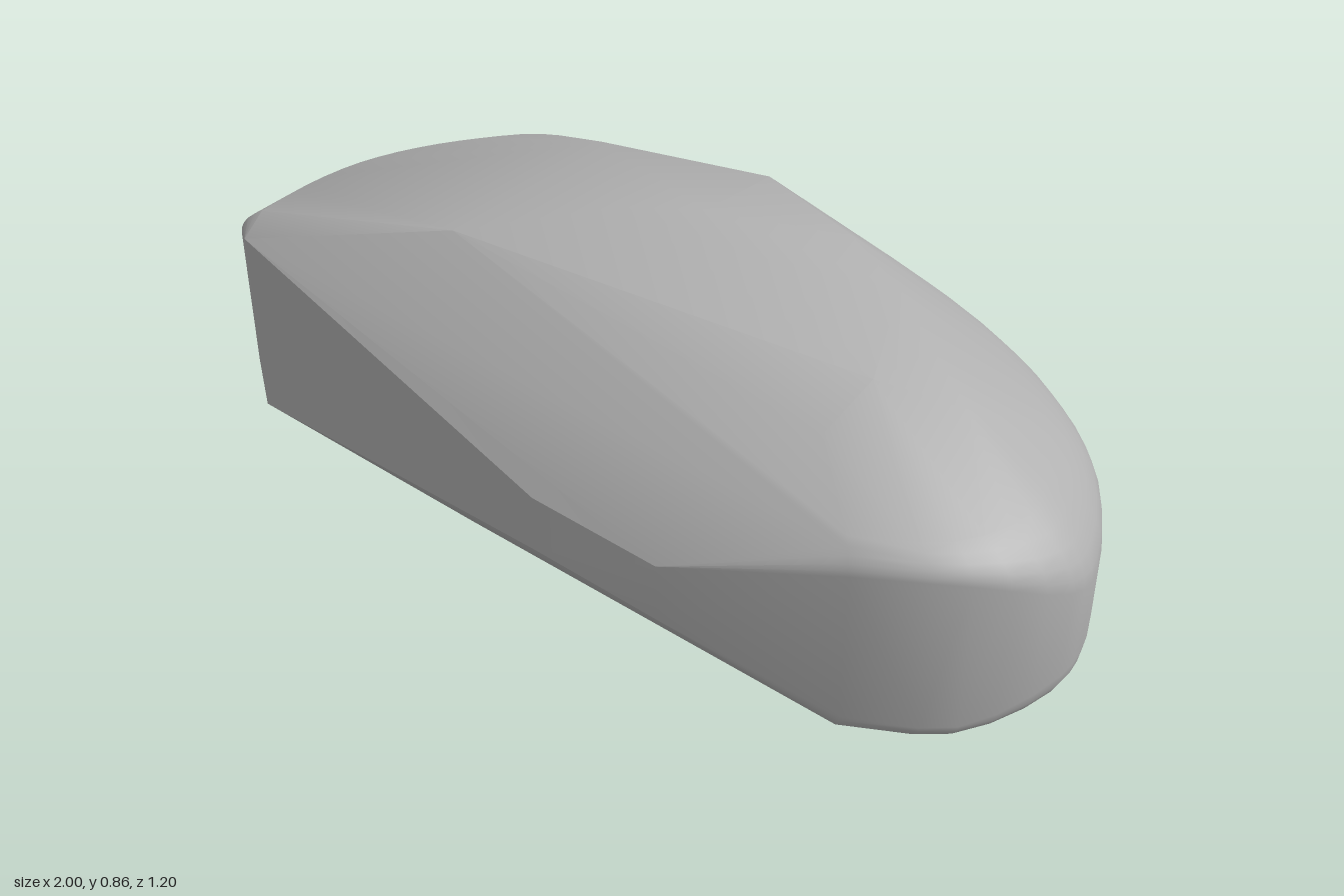
import * as THREE from 'three';
import { ConvexGeometry } from 'three/addons/geometries/ConvexGeometry.js';
import { mergeVertices, toCreasedNormals } from 'three/addons/utils/BufferGeometryUtils.js';

const MID = 0.433; // height of the mirror plane

export function createModel() {
  const group = new THREE.Group();
  group.name = 'stone';
  const stoneGrey = new THREE.MeshStandardMaterial({ color: 0xb0b0b0 });
  stoneGrey.name = 'stone grey';

  const V = (p) => new THREE.Vector3(p[0], p[2], p[1]);
  // All points are [x, z, half height]
  // Rounded edge: rim of the side wall, and the shoulder above it
  const rim = [
    [0.62, 0.598, 0.17], [0.83, 0.535, 0.17], [0.98, 0.4, 0.1], [1, 0.3, 0.08], [0.95, 0.1, 0.1],
    [0.85, -0.06, 0.1], [0.7, -0.2, 0.1], [0.4, -0.38, 0.1], [0, -0.505, 0.13], [-0.28, -0.592, 0.16],
    [-0.4, -0.605, 0.17], [-0.55, -0.585, 0.17], [-0.7, -0.5, 0.17], [-0.82, -0.37, 0.17],
    [-0.9, -0.25, 0.17], [-0.95, -0.1, 0.17], [-1, 0.05, 0.17],
  ].map(V);
  const shoulder = [
    [0.6, 0.56, 0.23], [0.78, 0.5, 0.23], [0.88, 0.37, 0.23], [0.88, 0.27, 0.24], [0.84, 0.12, 0.25],
    [0.73, -0.03, 0.26], [0.58, -0.16, 0.27], [0.3, -0.32, 0.28], [0, -0.43, 0.27], [-0.3, -0.54, 0.235],
    [-0.42, -0.55, 0.23], [-0.55, -0.53, 0.23], [-0.66, -0.45, 0.235], [-0.77, -0.34, 0.24],
    [-0.85, -0.22, 0.245], [-0.9, -0.08, 0.25], [-0.93, 0.06, 0.25],
  ].map(V);

  // Cut front face, crest and crown
  const points = [
    [-0.93, 0.135, 0.22], [-0.05, 0.51, 0.065], [0.25, 0.598, 0.065],
    [-0.4, 0.15, 0.38], [0.5, 0.42, 0.325], [0.55, 0.3, 0.382], [0.62, 0.15, 0.365],
    [0.5, 0, 0.385], [0.35, -0.15, 0.385], [0.1, -0.33, 0.37], [-0.3, -0.34, 0.36],
    [0.07, -0.05, 0.432], [0.25, 0.06, 0.423], [-0.1, 0, 0.426], [0.72, 0.25, 0.33],
  ].map(V);

  // Sweep a curved bevel from the rim to the shoulder
  const rimCurve = new THREE.CatmullRomCurve3(rim);
  const shoulderCurve = new THREE.CatmullRomCurve3(shoulder);
  const N = 48, M = 5;
  for (let i = 0; i <= N; i++) {
    const a = rimCurve.getPoint(i / N);
    const b = shoulderCurve.getPoint(i / N);
    const c = a.clone();
    c.y += 0.5 * (b.y - a.y);
    const bevel = new THREE.QuadraticBezierCurve3(a, c, b);
    points.push(...bevel.getPoints(M));
  }

  // Mirror top to bottom and wrap a skin around the points
  const all = [];
  for (const p of points) {
    all.push(new THREE.Vector3(p.x, MID + p.y, p.z), new THREE.Vector3(p.x, MID - p.y, p.z));
  }
  const hull = new ConvexGeometry(all);
  hull.deleteAttribute('normal');
  const geometry = toCreasedNormals(mergeVertices(hull, 1e-4), 0.5);

  const body = new THREE.Mesh(geometry, stoneGrey);
  body.name = 'stoneBody';
  group.add(body);
  return group;
}
